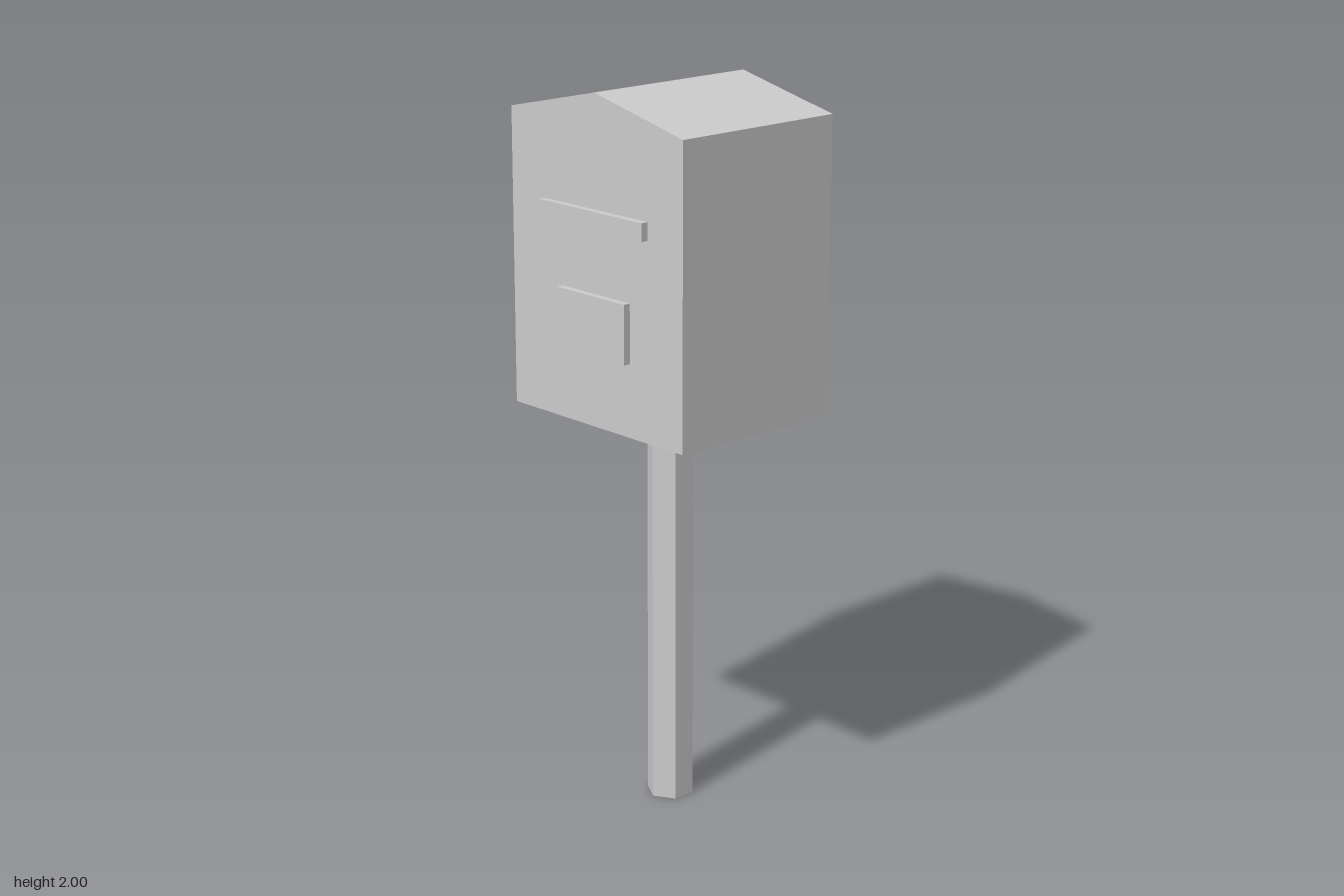
import * as THREE from 'three';

export function createModel() {
  const group = new THREE.Group();
  const grey = new THREE.MeshStandardMaterial({ color: 0xcccccc });
  grey.name = 'light grey';
  grey.flatShading = true;

  const add = (name, geometry, x, y, z) => {
    const mesh = new THREE.Mesh(geometry, grey);
    mesh.name = name;
    mesh.position.set(x, y, z);
    group.add(mesh);
  };

  // Hexagonal post, one corner facing the front
  const boxBottom = 1.12;
  add('post', new THREE.CylinderGeometry(0.065, 0.065, boxBottom, 6), 0, boxBottom / 2, -0.01);

  // Letter box with a shallow gabled top
  const halfWidth = 0.328, eaves = 1.925, ridge = 2, back = -0.273, front = 0.252;
  const outline = new THREE.Shape([
    new THREE.Vector2(-halfWidth, boxBottom),
    new THREE.Vector2(halfWidth, boxBottom),
    new THREE.Vector2(halfWidth, eaves),
    new THREE.Vector2(0, ridge),
    new THREE.Vector2(-halfWidth, eaves),
  ]);
  add('letterBox', new THREE.ExtrudeGeometry(outline, { depth: front - back, bevelEnabled: false }), 0, 0, back);

  // Raised slot cover and notice plate on the front
  const relief = 0.02;
  add('slotCover', new THREE.BoxGeometry(0.396, 0.048, relief), 0, 1.676, front + relief / 2);
  add('noticePlate', new THREE.BoxGeometry(0.262, 0.16, relief), 0, 1.398, front + relief / 2);

  return group;
}
